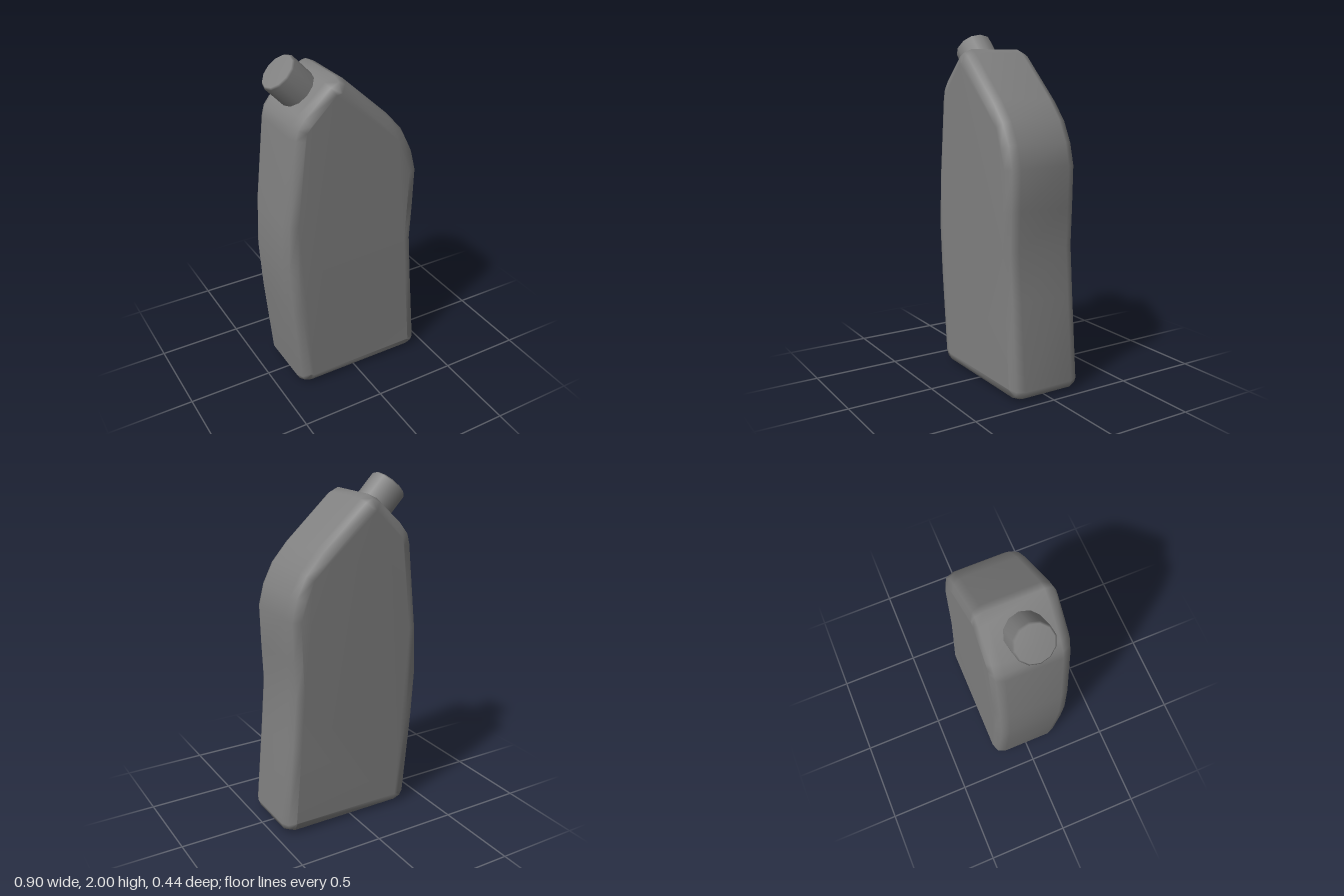
import * as THREE from 'three';
import { mergeVertices } from 'three/addons/utils/BufferGeometryUtils.js';

const material = new THREE.MeshStandardMaterial({ color: 0x808080 });

// Body: side outline extruded across z with a rounded edge
function makeBody() {
  const outline = [
    [-0.31, 0], [0.39, 0], [0.434, 0.02], [0.449, 0.06], // base
    [0.406, 0.55], [0.384, 0.83], [0.393, 1.05], [0.399, 1.28], // waisted side
    [0.367, 1.406], [0.306, 1.527], [0.211, 1.635], // shoulder
    [-0.066, 1.887], [-0.114, 1.909], [-0.172, 1.882], // peak
    [-0.33, 1.735], [-0.368, 1.686], [-0.384, 1.623], // neck slope
    [-0.437, 1.13], [-0.449, 0.84], [-0.432, 0.56], // bulging side
    [-0.385, 0.06], [-0.363, 0.019],
  ].map(([x, y]) => new THREE.Vector2(x, y));

  const bevel = 0.065, halfDepth = 0.22;
  let geometry = new THREE.ExtrudeGeometry(new THREE.Shape(outline), {
    depth: 2 * (halfDepth - bevel),
    bevelThickness: bevel,
    bevelSize: bevel,
    bevelOffset: -bevel,
    bevelSegments: 2,
  });
  geometry.translate(0, 0, bevel - halfDepth);

  // Weld the vertices so the edges shade smoothly
  geometry.deleteAttribute('uv');
  geometry.deleteAttribute('normal');
  geometry = mergeVertices(geometry, 1e-4);
  geometry.computeVertexNormals();
  const body = new THREE.Mesh(geometry, material);
  body.name = 'bottleBody';
  return body;
}

// Cap: twelve-sided, slightly eased rim, tilted off the neck slope
function makeCap() {
  const radius = 0.11, height = 0.21, ease = 0.01;
  const profile = [
    [0, 0], [radius, 0], [radius, 0], [radius, height - ease],
    [radius - ease, height], [0, height],
  ].map(([r, y]) => new THREE.Vector2(r, y));
  const cap = new THREE.Mesh(new THREE.LatheGeometry(profile, 12), material);
  cap.name = 'cap';
  cap.rotation.z = 0.765;
  cap.position.set(-0.213, 1.776, 0);
  return cap;
}

export function createModel() {
  const bottle = new THREE.Group();
  bottle.name = 'bottle';
  bottle.add(makeBody(), makeCap());
  return bottle;
}
